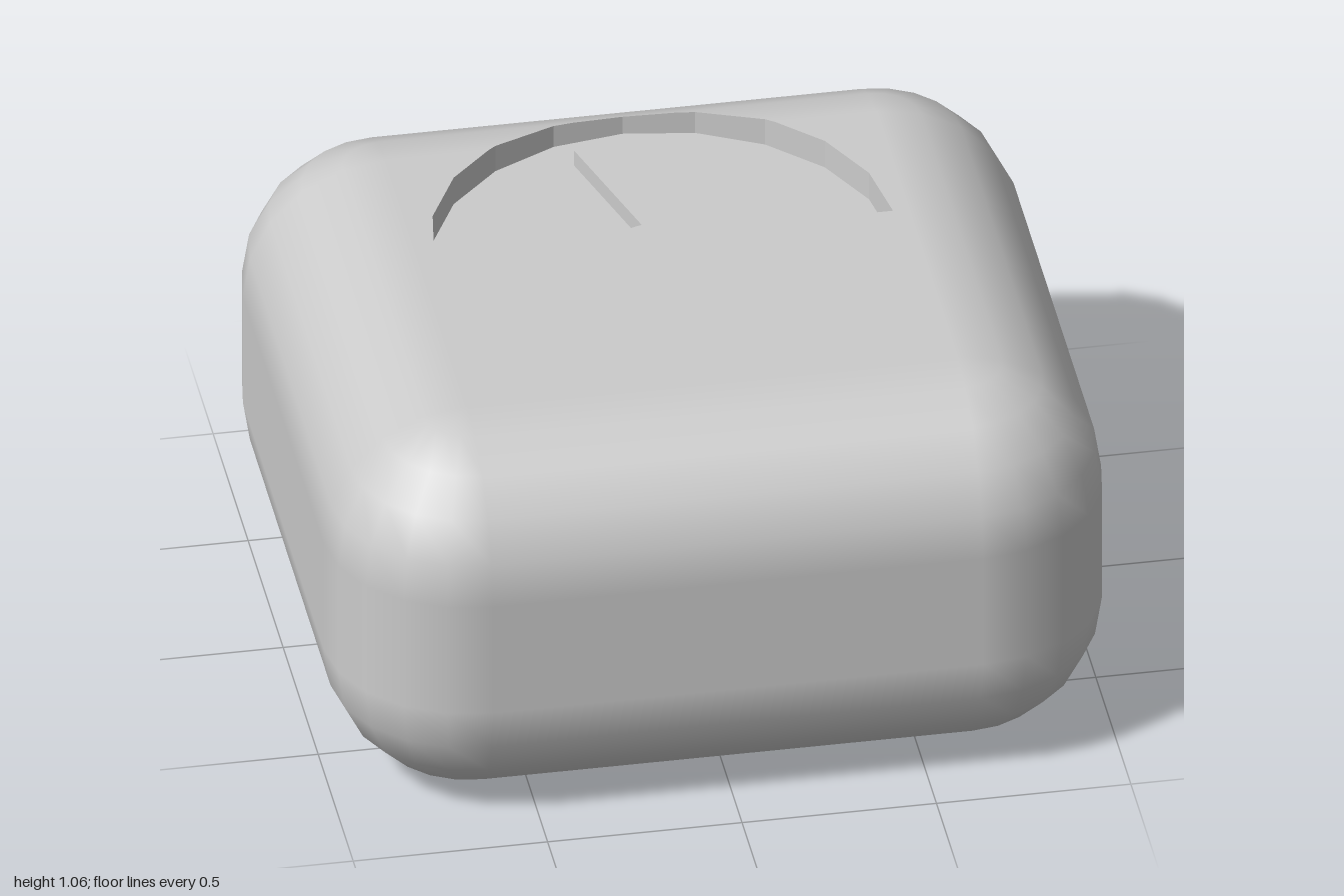
import * as THREE from 'three';

const X = 1, Z = 0.945, H = 1.06, R = 0.37, SEG = 5;
const cx = X - R, cz = Z - R;              // flat half-extents inside the rounding
const DIAL_R = 0.59, DIAL_Z = -0.12, FLOOR = H - 0.08;
const grey = () => new THREE.MeshStandardMaterial({ color: 0xcccccc, side: THREE.DoubleSide });
const step = Math.PI / 2 / SEG;

// corners of the dial's half-round outline, from the side to the far middle
const arc = [];
for (let i = 0; i <= 5; i++) {
  const a = i * Math.PI / 10;
  arc.push([DIAL_R * Math.cos(a), DIAL_Z - DIAL_R * Math.sin(a)]);
}
// half-width of the dial opening at depth z
function halfWidth(z) {
  for (let i = 0; i < 5; i++) {
    const [x0, z0] = arc[i], [x1, z1] = arc[i + 1];
    if (z <= z0 + 1e-9 && z >= z1 - 1e-9) return x0 + (x1 - x0) * (z0 - z) / (z0 - z1);
  }
  return 0;
}
// height of the top surface along z, following the faceted back rounding
function topY(z) {
  const d = -cz - z;
  if (d <= 0) return H;
  let i = 0;
  while (d > R * Math.sin((i + 1) * step) + 1e-9) i++;
  const d0 = R * Math.sin(i * step), d1 = R * Math.sin((i + 1) * step);
  const y0 = Math.cos(i * step), y1 = Math.cos((i + 1) * step);
  return H - R + R * (y0 + (y1 - y0) * (d - d0) / (d1 - d0));
}
function geometry(pos, nor, index) {
  const g = new THREE.BufferGeometry();
  g.setAttribute('position', new THREE.Float32BufferAttribute(pos, 3));
  if (nor) g.setAttribute('normal', new THREE.Float32BufferAttribute(nor, 3));
  if (index) g.setIndex(index);
  if (!nor) g.computeVertexNormals();
  return g;
}

// depths at which the top plate is split, front to back
const zEnd = -cz - R * Math.sin(2 * step);
const cuts = [cz, ...arc.map(p => p[1]), -cz, -cz - R * Math.sin(step), zEnd].sort((a, b) => b - a);

// rounded block: stacked rounded-rectangle rings, leaving out the top plate
function bodyGeometry() {
  const pos = [], nor = [], idx = [], n = 4 * (SEG + 1), rings = 2 * (SEG + 1);
  for (let i = 0; i < rings; i++) {
    const low = i > SEG, phi = (low ? i - 1 : i) * step;
    for (let k = 0; k < 4; k++) for (let s = 0; s <= SEG; s++) {
      const th = k * Math.PI / 2 + s * step;
      const nx = Math.sin(phi) * Math.cos(th), ny = Math.cos(phi), nz = Math.sin(phi) * Math.sin(th);
      pos.push((k === 0 || k === 3 ? cx : -cx) + R * nx, (low ? R : H - R) + R * ny, (k < 2 ? cz : -cz) + R * nz);
      nor.push(nx, ny, nz);
    }
  }
  const backStrip = 3 * (SEG + 1) - 1;
  for (let i = 0; i < rings - 1; i++) for (let j = 0; j < n; j++) {
    if (i < 2 && j === backStrip) continue;
    const a = i * n + j, b = i * n + (j + 1) % n;
    idx.push(a, b, a + n, b, b + n, a + n);
  }
  // underside
  const base = (rings - 1) * n, c = [0, 1, 2, 3].map(k => base + k * (SEG + 1));
  idx.push(c[0], c[1], c[2], c[0], c[2], c[3]);
  return geometry(pos, nor, idx);
}

// top plate in strips on both sides of the dial opening
function topGeometry() {
  const pos = [], nor = [];
  const put = (x, z) => {
    const a = Math.asin(Math.max(0, -cz - z) / R);
    pos.push(x, topY(z), z);
    nor.push(0, Math.cos(a), -Math.sin(a));
  };
  const quad = (a, b, c, d) => [a, b, c, a, c, d].forEach(p => put(...p));
  for (let i = 0; i < cuts.length - 1; i++) {
    const z0 = cuts[i], z1 = cuts[i + 1], open = z0 <= DIAL_Z + 1e-9;
    const w0 = open ? halfWidth(z0) : 0, w1 = open ? halfWidth(z1) : 0;
    quad([-cx, z0], [-w0, z0], [-w1, z1], [-cx, z1]);
    quad([w0, z0], [cx, z0], [cx, z1], [w1, z1]);
  }
  return geometry(pos, nor);
}

// upright walls of the dial recess
function wallGeometry() {
  const side = cuts.filter(z => z <= DIAL_Z + 1e-9 && z >= arc[5][1] - 1e-9).map(z => [halfWidth(z), z]);
  const loop = [...side, ...side.slice(0, -1).reverse().map(([x, z]) => [-x, z])];
  const pos = [];
  loop.forEach(([x0, z0], i) => {
    const [x1, z1] = loop[(i + 1) % loop.length];
    const a = [x0, FLOOR, z0], b = [x1, FLOOR, z1], c = [x1, topY(z1), z1], d = [x0, topY(z0), z0];
    pos.push(...a, ...c, ...b, ...a, ...d, ...c);
  });
  return geometry(pos);
}

export function createModel() {
  const group = new THREE.Group();
  const add = (name, geo, y = 0, z = 0) => {
    const m = new THREE.Mesh(geo, grey());
    m.name = name;
    m.position.set(0, y, z);
    group.add(m);
  };
  add('body', bodyGeometry());
  add('topPlate', topGeometry());
  add('dialWall', wallGeometry());
  add('dialFloor', new THREE.CircleGeometry(DIAL_R, 10, 0, Math.PI).rotateX(-Math.PI / 2), FLOOR, DIAL_Z);

  // raised half-round hub and tapering needle, drawn from the dial's straight edge
  const raise = shape => new THREE.ExtrudeGeometry(shape, { depth: 0.045, bevelEnabled: false, curveSegments: 12 })
    .rotateX(-Math.PI / 2);
  const hub = new THREE.Shape();
  hub.absellipse(0, 0, 0.137, 0.105, 0, Math.PI, false, 0);
  add('needleHub', raise(hub), FLOOR, DIAL_Z);
  const needle = new THREE.Shape([[-0.038, 0.09], [0.015, 0.09], [0.015, 0.103], [-0.132, 0.474], [-0.146, 0.468], [-0.038, 0.1]]
    .map(p => new THREE.Vector2(...p)));
  add('needle', raise(needle), FLOOR, DIAL_Z);
  return group;
}
